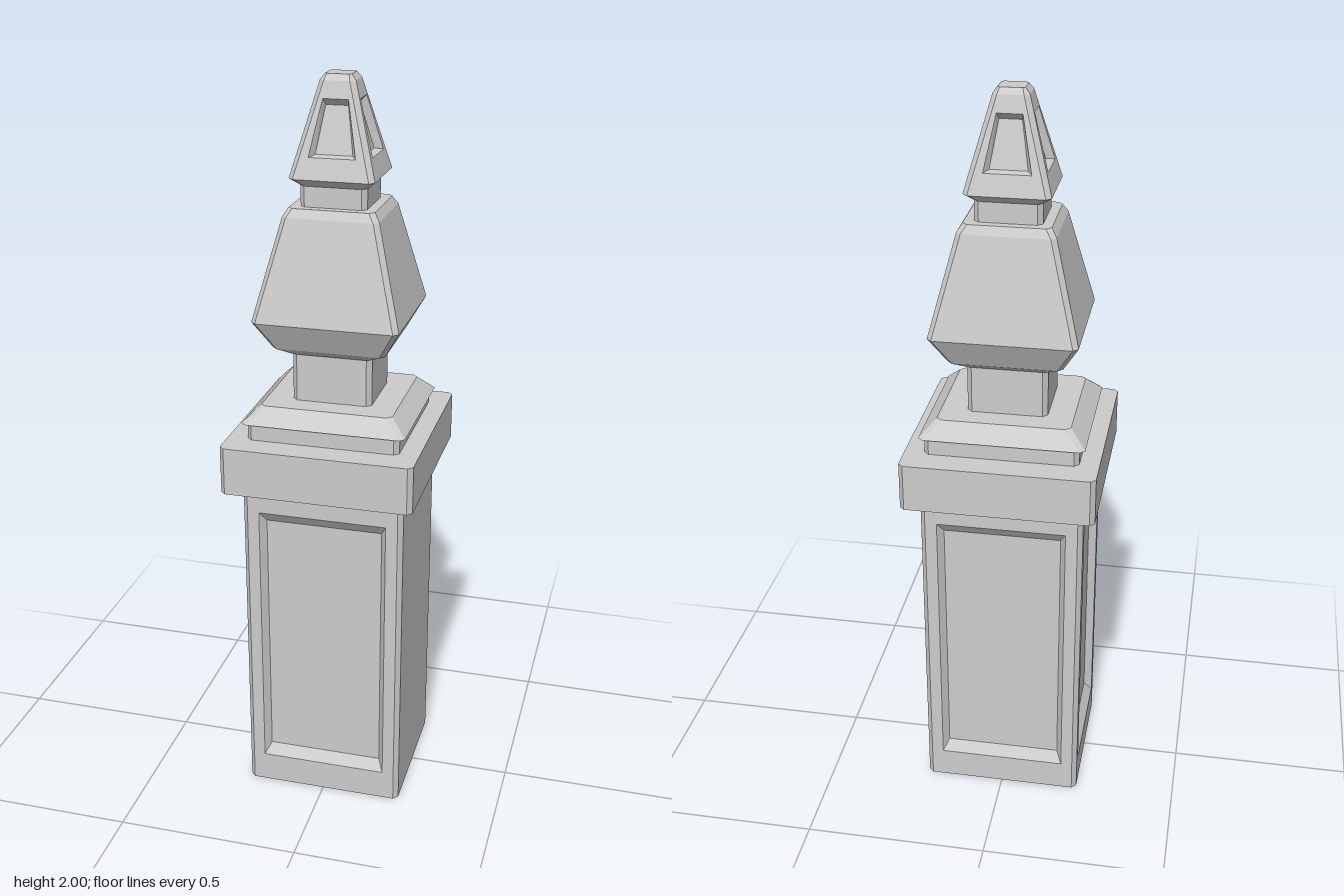
import * as THREE from 'three';

const material = new THREE.MeshStandardMaterial({ color: 0xcccccc, flatShading: true, side: THREE.DoubleSide });

// Rectangle with cut corners at height y; even edges are front, right, back, left
function section([y, hx, hz, c = 0.013]) {
  const x = hx - c, z = hz - c;
  return [[-x, hz], [x, hz], [hx, z], [hx, -z], [x, -hz], [-x, -hz], [-hx, -z], [-hx, z]]
    .map(([px, pz]) => new THREE.Vector3(px, y, pz));
}

function fan(out, ring) {
  for (let i = 1; i < ring.length - 1; i++) out.push(ring[0], ring[i], ring[i + 1]);
}

// Joins consecutive rings with flat quads, leaving out the skipped edges
function strips(out, rings, skip = []) {
  for (let r = 0; r < rings.length - 1; r++) {
    const a = rings[r], b = rings[r + 1];
    a.forEach((p, i) => {
      if (skip.includes(i)) return;
      const j = (i + 1) % a.length;
      out.push(p, a[j], b[j], p, b[j], b[i]);
    });
  }
}

// Face with a sunken, bevelled panel; widths and heights are fractions of the face
function recess(out, corners, { open, floor, depth }) {
  const [a, b, c, d] = corners;
  const normal = b.clone().sub(a).cross(d.clone().sub(a)).normalize();
  const at = (u, v, sink) => a.clone().lerp(b, u).lerp(d.clone().lerp(c, u), v).addScaledVector(normal, -sink);
  const frame = ([w, v0, v1], sink) => {
    const l = (1 - w) / 2, r = (1 + w) / 2;
    return [at(l, v0, sink), at(r, v0, sink), at(r, v1, sink), at(l, v1, sink)];
  };
  const inner = frame(floor, depth);
  strips(out, [corners, frame(open, 0), inner]);
  fan(out, inner);
}

// Stacked sections; panel sides are cut into the level between panelRow and the next row
function part(name, rows, { bottom = true, top = true, panelRow = -1, sides = [], panel } = {}) {
  const out = [], rings = rows.map(section);
  for (let r = 0; r < rings.length - 1; r++) {
    const cut = r === panelRow ? sides : [];
    strips(out, [rings[r], rings[r + 1]], cut);
    for (const i of cut) {
      const j = (i + 1) % 8;
      recess(out, [rings[r][i], rings[r][j], rings[r + 1][j], rings[r + 1][i]], panel);
    }
  }
  if (bottom) fan(out, [...rings[0]].reverse());
  if (top) fan(out, rings[rings.length - 1]);
  const geometry = new THREE.BufferGeometry().setFromPoints(out);
  geometry.computeVertexNormals();
  const mesh = new THREE.Mesh(geometry, material);
  mesh.name = name;
  return mesh;
}

export function createModel() {
  const group = new THREE.Group();
  group.name = 'gatePost';
  group.add(
    // Hollow post, panelled on the front, back and one side
    part('postShaft', [[0, 0.22, 0.204], [0.94, 0.22, 0.204]], {
      bottom: false, top: false, panelRow: 0, sides: [0, 4, 6],
      panel: { open: [0.845, 0.09, 0.92], floor: [0.77, 0.122, 0.888], depth: 0.022 },
    }),
    // Cap slab and the stepped plate on it
    part('capSlab', [[0.93, 0.23, 0.244], [0.944, 0.258, 0.274], [1.074, 0.258, 0.274]]),
    part('capPlate', [[1.07, 0.205, 0.199], [1.117, 0.205, 0.199], [1.117, 0.22, 0.205], [1.16, 0.177, 0.164]]),
    // Finial
    part('lowerNeck', [[1.15, 0.107, 0.101], [1.3, 0.107, 0.101]]),
    part('finialBulb', [
      [1.29, 0.113, 0.106], [1.312, 0.15, 0.139], [1.39, 0.194, 0.181],
      [1.655, 0.126, 0.119], [1.677, 0.112, 0.106],
    ]),
    part('upperNeck', [[1.67, 0.087, 0.083], [1.74, 0.087, 0.083]]),
    // Spire with a sunken panel on every side
    part('spire', [[1.728, 0.085, 0.081], [1.75, 0.111, 0.106], [1.985, 0.046, 0.043], [2, 0.034, 0.031, 0.006]], {
      panelRow: 1, sides: [0, 2, 4, 6],
      panel: { open: [0.73, 0.23, 0.82], floor: [0.6, 0.27, 0.77], depth: 0.02 },
    }),
  );
  return group;
}
